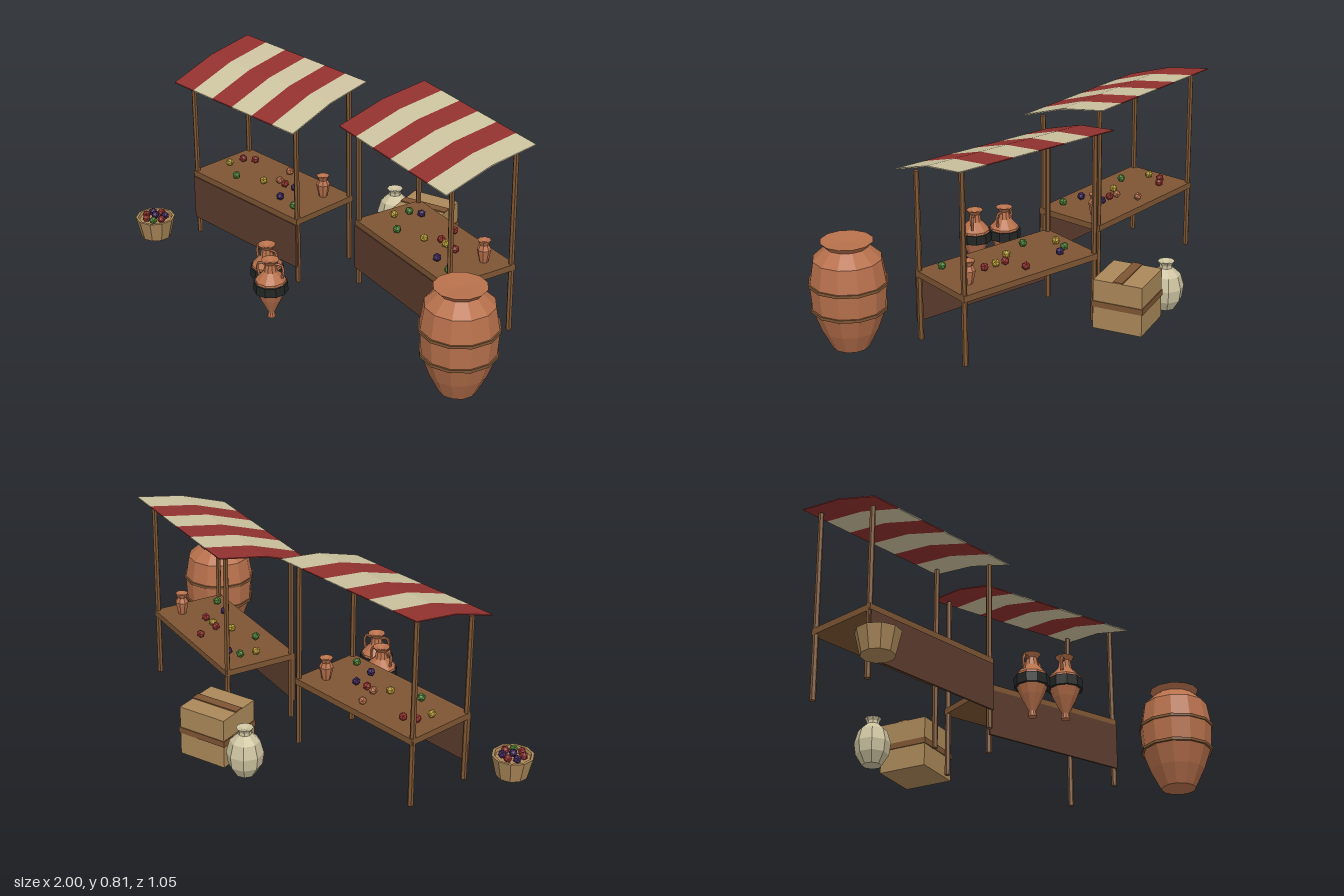
import * as THREE from 'three';

const mat = (name, color) => Object.assign(new THREE.MeshStandardMaterial({ color }), { name });

export function createModel() {
  const wood = mat('wood', 0x7d5533);
  const panelWood = mat('dark wood', 0x5c3c2d);
  const red = mat('red', 0x93322f);
  const cream = mat('cream', 0xcdc3a0);
  const clay = mat('terracotta', 0xb8714c);
  const black = mat('black', 0x242626);
  const straw = mat('straw', 0xaa8859);
  const purple = mat('purple', 0x40265f);
  const green = mat('green', 0x4b8035);
  const yellow = mat('yellow', 0xb59a35);

  const root = new THREE.Group();
  root.name = 'marketStalls';

  // Faceted mesh helper
  function add(parent, name, geo, material, x = 0, y = 0, z = 0) {
    const g = geo.index ? geo.toNonIndexed() : geo;
    g.computeVertexNormals();
    const mesh = new THREE.Mesh(g, material);
    mesh.name = name;
    mesh.position.set(x, y, z);
    parent.add(mesh);
    return mesh;
  }
  function group(parent, name, x, y, z, turn = 0) {
    const g = new THREE.Group();
    g.name = name;
    g.position.set(x, y, z);
    g.rotation.y = turn;
    parent.add(g);
    return g;
  }
  const box = (w, h, d) => new THREE.BoxGeometry(w, h, d);
  const lathe = (pts, sides) => new THREE.LatheGeometry(pts.map(p => new THREE.Vector2(...p)), sides);
  const fruit = (parent, m, x, y, z, r = 0.018) => {
    add(parent, 'fruit', new THREE.IcosahedronGeometry(r, 0), m, x, y, z).rotation.set(x * 40, z * 50, 0);
  };

  // Small two-handled pot standing on a table
  function tablePot(parent, x, y, z) {
    add(parent, 'tablePot', lathe([[0, 0], [0.017, 0], [0.022, 0.02], [0.029, 0.055], [0.019, 0.075],
      [0.027, 0.094], [0.018, 0.094], [0, 0.085]], 8), clay, x, y, z);
  }

  const spots = [[-0.256, 0.018], [-0.245, -0.05], [-0.138, 0.081], [-0.199, -0.079], [-0.018, 0.032],
    [0.027, -0.019], [-0.006, -0.107], [0.068, -0.012], [0.143, 0.082], [0.125, -0.016], [0.244, 0.1]];

  function stall(name, x, z, turn, fruits) {
    const s = group(root, name, x, 0, z, turn);
    // Posts
    for (const px of [-0.318, 0.318]) {
      for (const [pz, h] of [[0.147, 0.705], [-0.147, 0.79]]) {
        add(s, 'post', new THREE.CylinderGeometry(0.011, 0.012, h, 6), wood, px, h / 2, pz);
      }
    }
    // Table top and front panel
    add(s, 'tableTop', box(0.655, 0.026, 0.32), wood, 0, 0.281, 0);
    add(s, 'frontPanel', box(0.65, 0.195, 0.008), panelWood, 0, 0.171, 0.16);
    // Bent striped canopy, one slab per stripe
    const w = 0.735 / 6;
    const profile = [[-0.205, 0.703], [0.0, 0.772], [0.203, 0.807], [0.203, 0.811], [0.0, 0.777], [-0.205, 0.708]];
    for (let i = 0; i < 6; i++) {
      const shape = new THREE.Shape(profile.map(p => new THREE.Vector2(...p)));
      const geo = new THREE.ExtrudeGeometry(shape, { depth: w, bevelEnabled: false }).rotateY(Math.PI / 2);
      add(s, 'canopyStripe', geo, i % 2 ? cream : red, -0.3675 + i * w, 0, 0.003);
    }
    // Goods
    spots.forEach(([fx, fz], i) => fruit(s, fruits[i], fx, 0.31, fz));
    tablePot(s, 0.242, 0.294, -0.07);
  }
  stall('leftStall', -0.4925, 0.034, 0,
    [yellow, red, green, red, yellow, clay, clay, red, purple, purple, green]);
  stall('rightStall', 0.35, -0.072, -0.205,
    [yellow, green, green, purple, yellow, red, red, yellow, purple, red, green]);

  // Large storage jar with hoops
  const jar = group(root, 'storageJar', 0.843, 0, 0.31);
  add(jar, 'jarBody', lathe([[0, 0], [0.072, 0], [0.112, 0.08], [0.144, 0.17], [0.152, 0.27], [0.135, 0.372],
    [0.083, 0.42], [0.103, 0.442], [0.09, 0.442], [0, 0.435]], 12), clay);
  for (const [y, r] of [[0.168, 0.151], [0.273, 0.157]]) {
    add(jar, 'jarHoop', new THREE.CylinderGeometry(r, r, 0.012, 12), wood, 0, y, 0);
  }

  // Pair of amphorae with dark bands and loop handles
  for (const [x, z, turn] of [[-0.145, 0.375, 0.1], [-0.04, 0.45, 0.5]]) {
    const a = group(root, 'amphora', x, 0, z, turn);
    add(a, 'amphoraBody', lathe([[0, 0], [0.018, 0], [0.014, 0.022], [0.045, 0.085], [0.064, 0.135], [0.062, 0.17],
      [0.028, 0.208], [0.022, 0.24], [0.036, 0.258], [0.026, 0.258], [0, 0.245]], 10), clay);
    add(a, 'amphoraBand', new THREE.CylinderGeometry(0.069, 0.069, 0.04, 10), black, 0, 0.14, 0);
    for (const side of [-1, 1]) {
      const path = new THREE.CatmullRomCurve3([[0.02, 0.236], [0.046, 0.24], [0.054, 0.215], [0.048, 0.182]]
        .map(([px, py]) => new THREE.Vector3(side * px, py, 0)));
      add(a, 'amphoraHandle', new THREE.TubeGeometry(path, 6, 0.006, 5), clay);
    }
  }

  // Pale jar behind the stalls
  add(root, 'paleJar', lathe([[0, 0], [0.04, 0], [0.068, 0.045], [0.075, 0.095], [0.06, 0.148], [0.027, 0.178],
    [0.026, 0.19], [0.035, 0.205], [0.025, 0.205], [0, 0.195]], 8), cream, -0.215, 0, -0.43);

  // Crate with a band and a top strip
  const crate = group(root, 'crate', -0.003, 0, -0.395, 0.256);
  add(crate, 'crateBody', box(0.212, 0.21, 0.208), straw, 0, 0.105, 0);
  add(crate, 'crateBand', box(0.22, 0.025, 0.216), wood, 0, 0.107, 0);
  add(crate, 'crateTopStrip', box(0.213, 0.006, 0.04), wood, 0, 0.212, 0);

  // Basket of fruit
  const basket = group(root, 'basket', -0.915, 0, 0.345);
  add(basket, 'basketBody', lathe([[0, 0], [0.064, 0], [0.085, 0.09], [0.074, 0.09], [0.07, 0.078], [0, 0.078]], 10), straw);
  const basketFruit = [red, green, red, red, purple, red, purple];
  basketFruit.forEach((m, i) => {
    const t = i * Math.PI * 2 / 7;
    fruit(basket, m, 0.042 * Math.cos(t), 0.092, 0.042 * Math.sin(t));
  });
  fruit(basket, purple, 0, 0.097, 0);

  return root;
}
